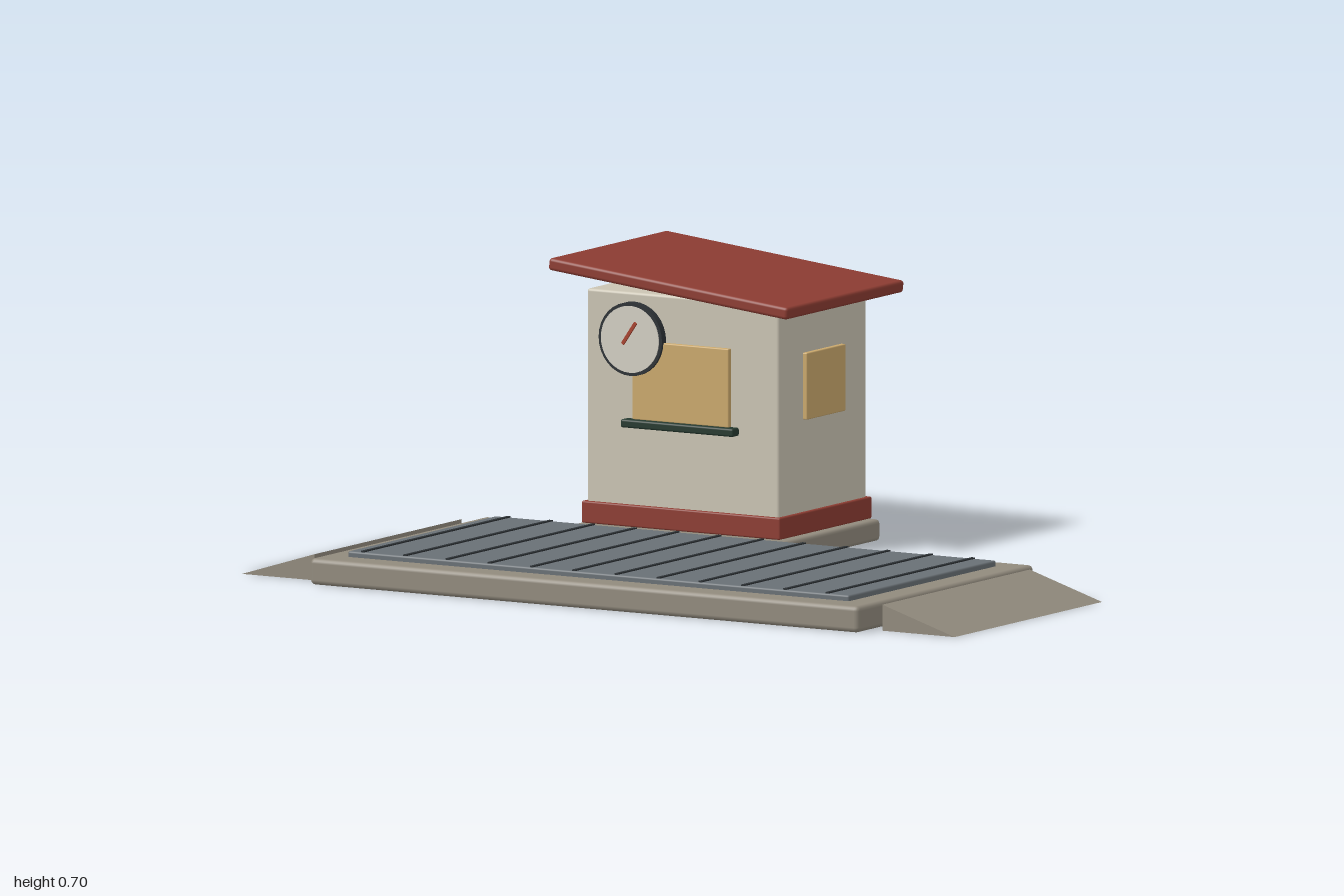
import * as THREE from 'three';
import { RoundedBoxGeometry } from 'three/addons/geometries/RoundedBoxGeometry.js';

const paint = (name, color) => {
  const m = new THREE.MeshStandardMaterial({ color });
  m.name = name;
  return m;
};

export function createModel() {
  const group = new THREE.Group();
  const concrete = paint('concrete', 0x918a7d);
  const steel = paint('deck steel', 0x697075);
  const dark = paint('dark metal', 0x2c3135);
  const cream = paint('cream wall', 0xcac4b3);
  const red = paint('red paint', 0x8c3c32);
  const amber = paint('amber glass', 0xcaa86c);
  const green = paint('dark green', 0x25392f);
  const dialWhite = paint('dial white', 0xd2cec3);
  const needleRed = paint('needle red', 0xa8432f);

  const add = (name, geometry, material, x = 0, y = 0, z = 0) => {
    const mesh = new THREE.Mesh(geometry, material);
    mesh.name = name;
    mesh.position.set(x, y, z);
    group.add(mesh);
    return mesh;
  };

  // Box given by its limits on each axis, with an optional edge rounding
  const block = (name, material, [x0, x1], [y0, y1], [z0, z1], r = 0) => {
    const size = [x1 - x0, y1 - y0, z1 - z0];
    const geometry = r ? new RoundedBoxGeometry(...size, 2, r) : new THREE.BoxGeometry(...size);
    return add(name, geometry, material, (x0 + x1) / 2, (y0 + y1) / 2, (z0 + z1) / 2);
  };

  // Weighing platform with a ribbed steel deck
  block('platformBase', concrete, [-0.77, 0.77], [0, 0.064], [-0.122, 0.69], 0.012);
  block('platformDeck', steel, [-0.703, 0.703], [0.03, 0.078], [-0.056, 0.622], 0.005);
  for (let i = 0; i < 12; i++) {
    const x = -0.663 + i * 0.1185;
    block('deckRib', dark, [x - 0.005, x + 0.005], [0.07, 0.081], [-0.053, 0.619]);
  }

  // Wedge ramps at both ends
  for (const s of [-1, 1]) {
    const profile = new THREE.Shape([
      new THREE.Vector2(s * 0.797, 0),
      new THREE.Vector2(s, 0),
      new THREE.Vector2(s * 0.797, 0.063),
    ]);
    const wedge = new THREE.ExtrudeGeometry(profile, { depth: 0.678, bevelEnabled: false });
    add('ramp', wedge, concrete, 0, 0, -0.056);
  }

  // Booth body
  block('boothSlab', concrete, [-0.57, 0.02], [0, 0.052], [-0.645, -0.194], 0.01);
  block('boothWalls', cream, [-0.545, -0.006], [0.05, 0.621], [-0.622, -0.218], 0.007);
  block('boothSkirting', red, [-0.554, 0.003], [0.054, 0.107], [-0.632, -0.208], 0.004);

  // Sloping roof
  const roof = add('roof', new RoundedBoxGeometry(0.674, 0.03, 0.54, 2, 0.008), red, -0.276, 0.648, -0.419);
  roof.rotation.z = -0.105;

  // Windows, sill and back door
  block('frontWindow', amber, [-0.41, -0.14], [0.315, 0.506], [-0.22, -0.206], 0.003);
  block('windowSill', green, [-0.434, -0.118], [0.296, 0.316], [-0.222, -0.19], 0.005);
  block('sideWindow', amber, [-0.01, 0.005], [0.33, 0.492], [-0.509, -0.33], 0.003);
  block('door', green, [-0.205, -0.02], [0.053, 0.445], [-0.636, -0.618], 0.003);

  // Round dial with a slanted needle
  const rim = add('dialRim', new THREE.CylinderGeometry(0.089, 0.089, 0.02, 32), dark, -0.411, 0.51, -0.209);
  const face = add('dialFace', new THREE.CylinderGeometry(0.081, 0.081, 0.004, 32), dialWhite, -0.411, 0.51, -0.198);
  rim.rotation.x = face.rotation.x = Math.PI / 2;
  const needle = add('dialNeedle', new THREE.BoxGeometry(0.008, 0.064, 0.006), needleRed, -0.411, 0.525, -0.194);
  needle.rotation.z = -0.6;

  return group;
}
